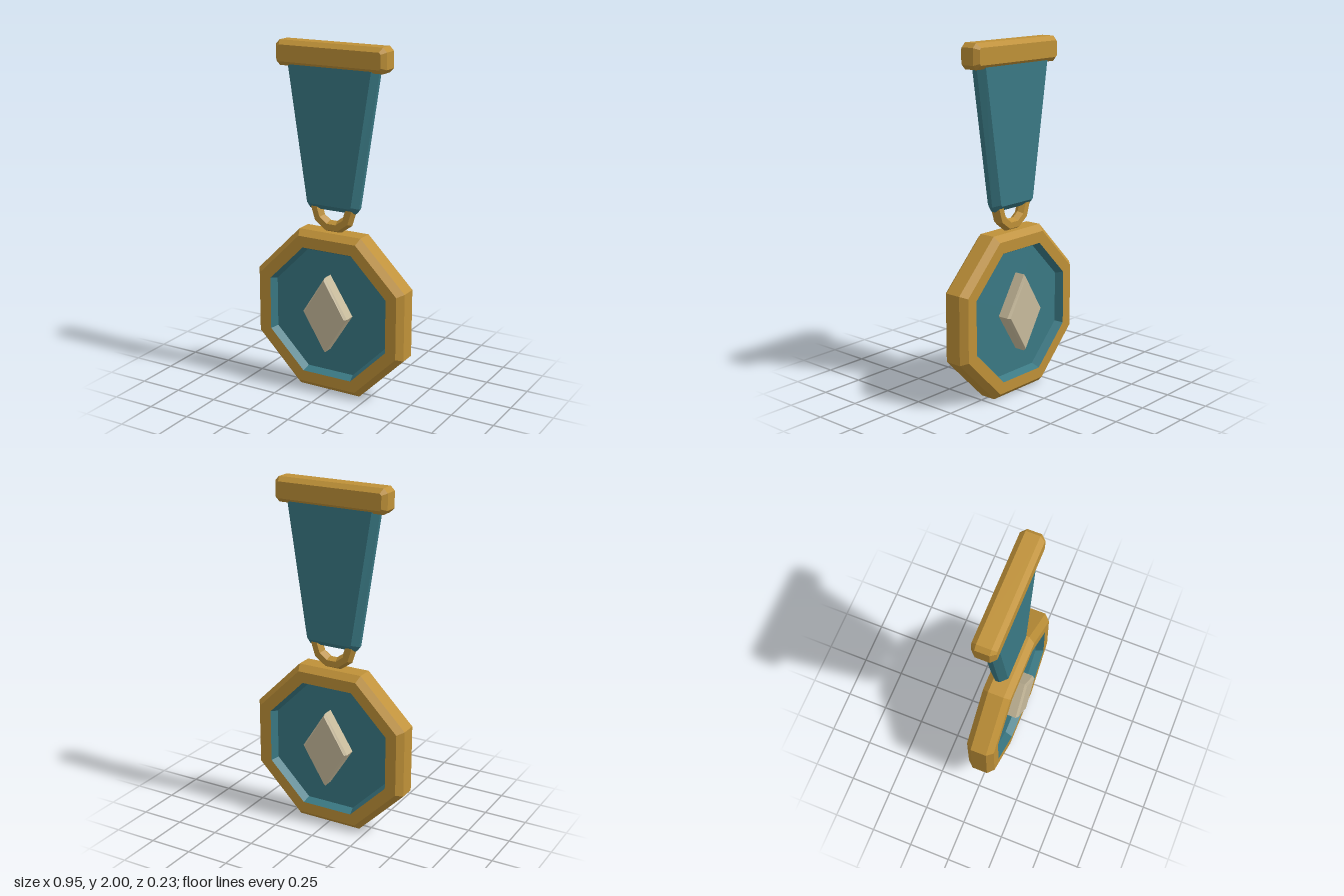
import * as THREE from 'three';

const gold = new THREE.MeshStandardMaterial({ name: 'gold', color: 0xbf9138, flatShading: true });
const teal = new THREE.MeshStandardMaterial({ name: 'teal', color: 0x3a7984, flatShading: true });
const ivory = new THREE.MeshStandardMaterial({ name: 'ivory', color: 0xc8bb9c, flatShading: true });

function part(name, geometry, material, y = 0) {
  const mesh = new THREE.Mesh(geometry, material);
  mesh.name = name;
  mesh.position.y = y;
  return mesh;
}

// Chamfered plate, centred on z = 0; the chamfer stays inside the outline
function plate(points, halfDepth, inset, chamfer) {
  const shape = new THREE.Shape(points.map(([x, y]) => new THREE.Vector2(x, y)));
  const depth = 2 * (halfDepth - chamfer);
  return new THREE.ExtrudeGeometry(shape, {
    depth, bevelEnabled: true, bevelSegments: 1,
    bevelSize: inset, bevelOffset: -inset, bevelThickness: chamfer,
  }).translate(0, 0, -depth / 2);
}

// Eight-sided turned form facing z, from [apothem, z] pairs
function octagon(profile) {
  const k = 1 / Math.cos(Math.PI / 8);
  const points = profile.map(([a, z]) => new THREE.Vector2(a * k, z));
  return new THREE.LatheGeometry(points, 8, Math.PI / 8).rotateX(Math.PI / 2);
}

export function createModel() {
  const model = new THREE.Group();
  model.name = 'medal';
  const centreY = 0.473;

  // Medallion: chamfered rim, a sunken dish on each side, a diamond through both
  model.add(part('rim', octagon([
    [0.375, -0.083], [0.44, -0.083], [0.473, -0.047],
    [0.473, 0.047], [0.44, 0.083], [0.375, 0.083],
  ]), gold, centreY));
  model.add(part('backDish', octagon([[0, -0.037], [0.355, -0.037], [0.375, -0.083]]), teal, centreY));
  model.add(part('frontDish', octagon([[0.375, 0.083], [0.355, 0.037], [0, 0.037]]), teal, centreY));
  model.add(part('diamond', plate(
    [[0.143, 0], [0, 0.225], [-0.143, 0], [0, -0.225]], 0.114, 0.011, 0.014,
  ), ivory, 0.475));

  // Hanging ring
  model.add(part('ring', new THREE.TorusGeometry(0.11, 0.036, 6, 10), gold, 1.08));

  // Tapered ribbon
  model.add(part('ribbon', plate([
    [-0.145, 1.068], [0.145, 1.068], [0.167, 1.098],
    [0.295, 1.93], [-0.295, 1.93], [-0.167, 1.098],
  ], 0.05, 0.034, 0.038), teal));

  // Top bar with cut corners
  const w = 0.342, h = 0.07, c = 0.024;
  model.add(part('topBar', plate([
    [w - c, -h], [w, -h + c], [w, h - c], [w - c, h],
    [c - w, h], [-w, h - c], [-w, c - h], [c - w, -h],
  ], 0.066, 0.024, 0.027), gold, 1.93));

  return model;
}
